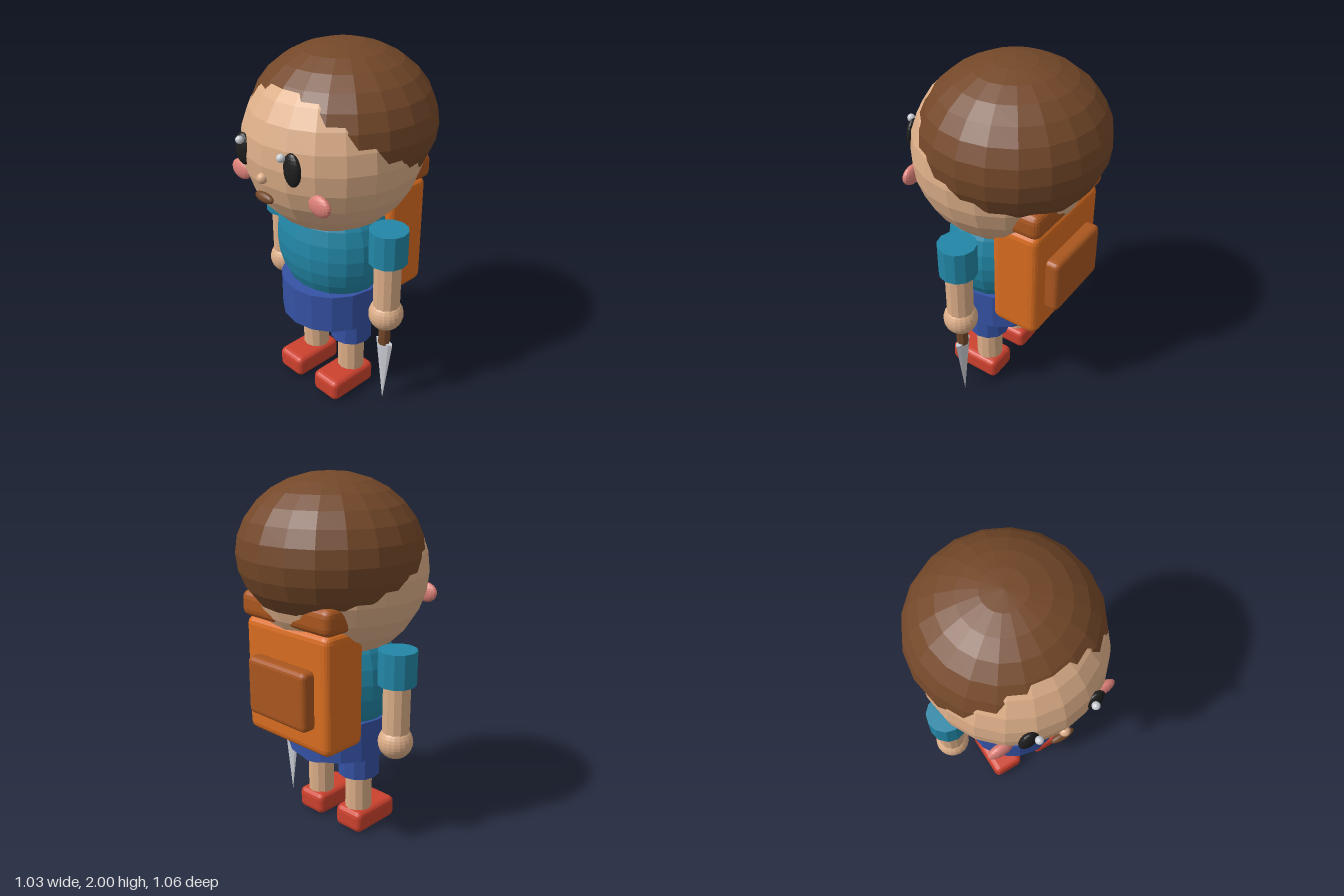
import * as THREE from 'three';
import { RoundedBoxGeometry } from 'three/addons/geometries/RoundedBoxGeometry.js';

const mat = (name, color) => {
  const m = new THREE.MeshStandardMaterial({ color, flatShading: true });
  m.name = name;
  return m;
};

export function createModel() {
  const skin = mat('skin', 0xdcae88);
  const brown = mat('brown', 0x744829);
  const teal = mat('teal', 0x2286a6);
  const blue = mat('blue', 0x3552a4);
  const red = mat('red', 0xcc412e);
  const orange = mat('orange', 0xd86c20);
  const rust = mat('rust', 0xa9561f);
  const pink = mat('pink', 0xdc8078);
  const black = mat('black', 0x1e1e1e);
  const silver = mat('silver', 0xc8cbd2);

  const model = new THREE.Group();
  const add = (name, geo, material, x, y, z) => {
    const m = new THREE.Mesh(geo, material);
    m.name = name;
    m.position.set(x, y, z);
    model.add(m);
    return m;
  };
  const ball = (name, material, pos, [rx, ry, rz], w = 16, h = 12) =>
    add(name, new THREE.SphereGeometry(1, w, h).scale(rx, ry, rz), material, ...pos);
  const tube = (name, material, x, z, r, y0, y1, sides = 12) =>
    add(name, new THREE.CylinderGeometry(r, r, y1 - y0, sides), material, x, (y0 + y1) / 2, z);
  const block = (name, material, [x, y, z], [w, h, d], r) =>
    add(name, new RoundedBoxGeometry(w, h, d, 2, r), material, x, y, z);

  const Z = 0.034; // depth of the body axis

  // Head, with the hair as a second shell set up and back
  ball('head', skin, [0, 1.49, 0.03], [0.475, 0.475, 0.475], 20, 14);
  ball('hair', brown, [0, 1.595, -0.04], [0.492, 0.405, 0.49], 20, 14);
  ball('nose', skin, [0, 1.425, 0.5], [0.028, 0.028, 0.028]);
  ball('mouth', brown, [0, 1.32, 0.493], [0.066, 0.027, 0.022]);

  // Torso and hips
  ball('shirt', teal, [0, 0.93, Z], [0.34, 0.38, 0.28], 20, 14);
  tube('shorts', blue, 0, Z, 0.29, 0.483, 0.705, 16);

  // Mirrored parts
  for (const [side, s] of [['left', 1], ['right', -1]]) {
    ball(side + 'Eye', black, [s * 0.183, 1.515, 0.466], [0.056, 0.085, 0.028]);
    ball(side + 'EyeGlint', silver, [s * 0.154, 1.58, 0.507], [0.021, 0.021, 0.021]);
    ball(side + 'Cheek', pink, [s * 0.296, 1.347, 0.4], [0.073, 0.055, 0.03]);

    tube(side + 'Sleeve', teal, s * 0.41, Z, 0.104, 0.943, 1.13);
    tube(side + 'Arm', skin, s * 0.41, Z, 0.074, 0.62, 0.95);
    ball(side + 'Hand', skin, [s * 0.41, 0.615, Z], [0.095, 0.095, 0.095], 20, 16);

    tube(side + 'ShortsLeg', blue, s * 0.149, Z, 0.117, 0.345, 0.5);
    tube(side + 'Leg', skin, s * 0.149, Z, 0.077, 0.1, 0.36);
    block(side + 'Shoe', red, [s * 0.149, 0.068, 0.095], [0.19, 0.13, 0.317], 0.035);
  }

  // Dagger held point down in the left hand
  tube('daggerHandle', brown, 0.405, Z, 0.033, 0.415, 0.6, 8);
  add('daggerBlade', new THREE.ConeGeometry(0.06, 0.404, 8).rotateX(Math.PI).scale(1, 1, 0.35),
    silver, 0.405, 0.222, Z);

  // Backpack
  block('backpack', orange, [0, 0.933, -0.238], [0.614, 0.65, 0.276], 0.045);
  block('backpackPocket', rust, [0, 0.907, -0.4], [0.43, 0.32, 0.1], 0.03);
  block('backpackFlap', rust, [0, 1.325, -0.24], [0.65, 0.145, 0.3], 0.045);

  return model;
}
